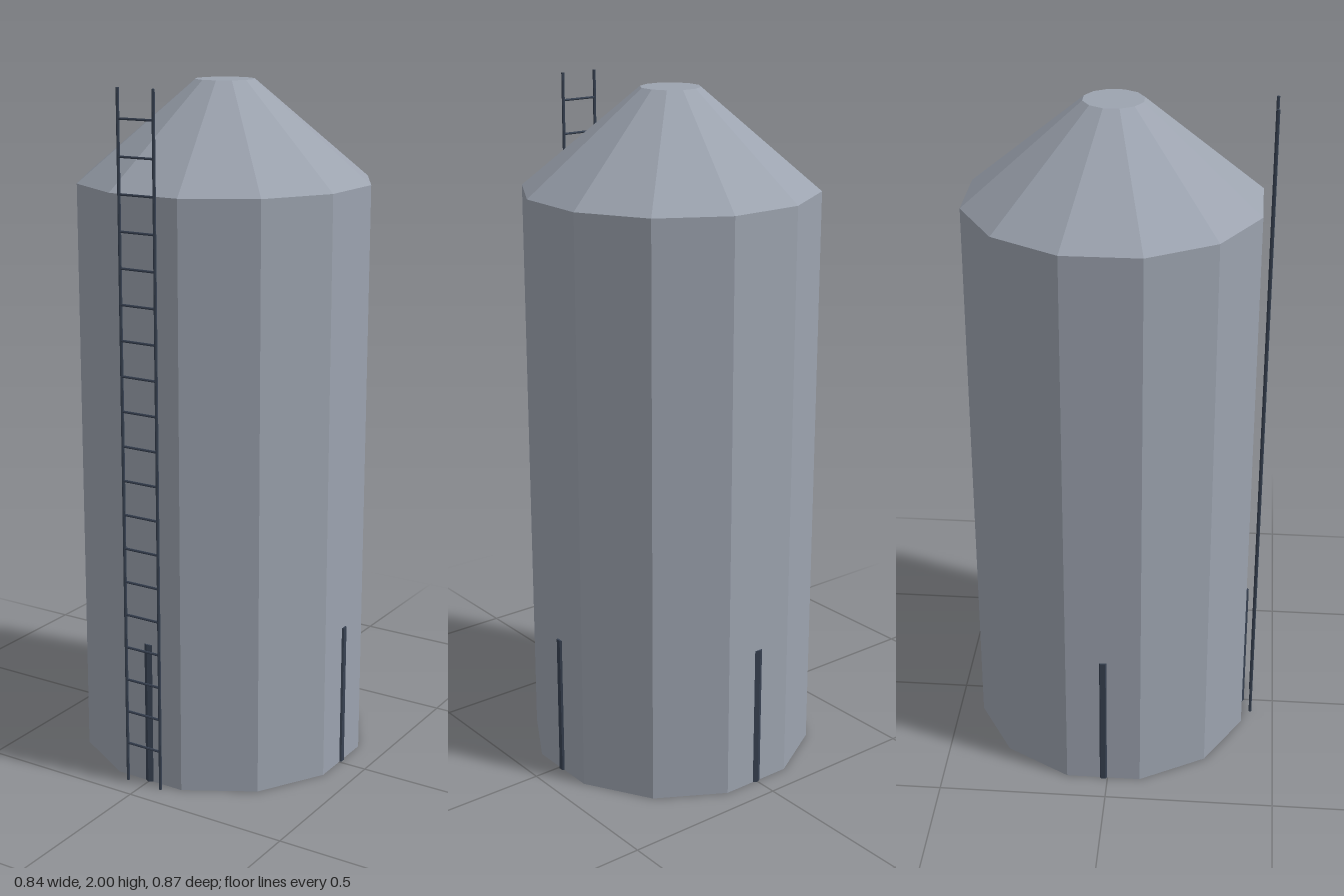
import * as THREE from 'three';

const BODY_Z = -0.0125; // the tank sits slightly back to balance the ladder
const TURN = Math.PI / 12; // puts flat sides on the axes

export function createModel() {
  const model = new THREE.Group();
  model.name = 'silo';
  const steel = new THREE.MeshStandardMaterial({ color: 0x9ca3af, flatShading: true });
  steel.name = 'steel grey';
  const iron = new THREE.MeshStandardMaterial({ color: 0x374151, flatShading: true });
  iron.name = 'dark iron';

  const add = (parent, name, geometry, material, x, y, z) => {
    const mesh = new THREE.Mesh(geometry, material);
    mesh.name = name;
    mesh.position.set(x, y, z);
    parent.add(mesh);
    return mesh;
  };

  // Twelve-sided tank and truncated cone roof
  const radius = 0.4275, wall = 1.716;
  add(model, 'tank', new THREE.CylinderGeometry(radius, radius, wall, 12).rotateY(TURN),
    steel, 0, wall / 2, BODY_Z);
  add(model, 'roof', new THREE.CylinderGeometry(0.086, radius, 2 - wall, 12).rotateY(TURN),
    steel, 0, (2 + wall) / 2, BODY_Z);

  // Four support legs half sunk in the wall
  const legs = new THREE.Group();
  legs.name = 'legs';
  model.add(legs);
  const legGeometry = new THREE.CylinderGeometry(0.015, 0.015, 0.43, 6);
  for (const [name, dx, dz] of [['frontLeg', 0, 1], ['backLeg', 0, -1], ['leftLeg', 1, 0], ['rightLeg', -1, 0]]) {
    add(legs, name, legGeometry, iron, dx * 0.4055, 0.215, BODY_Z + dz * 0.4055);
  }

  // Ladder standing in front of the wall
  const ladder = new THREE.Group();
  ladder.name = 'ladder';
  ladder.position.z = 0.4285;
  model.add(ladder);
  const railGeometry = new THREE.CylinderGeometry(0.0045, 0.0045, 2, 6);
  add(ladder, 'leftRail', railGeometry, iron, 0.057, 1, 0);
  add(ladder, 'rightRail', railGeometry, iron, -0.057, 1, 0);
  const rungGeometry = new THREE.CylinderGeometry(0.0036, 0.0036, 0.114, 6).rotateZ(Math.PI / 2);
  for (let i = 0; i < 19; i++) add(ladder, 'rung', rungGeometry, iron, 0, 0.119 + i * 0.1, 0);

  return model;
}
